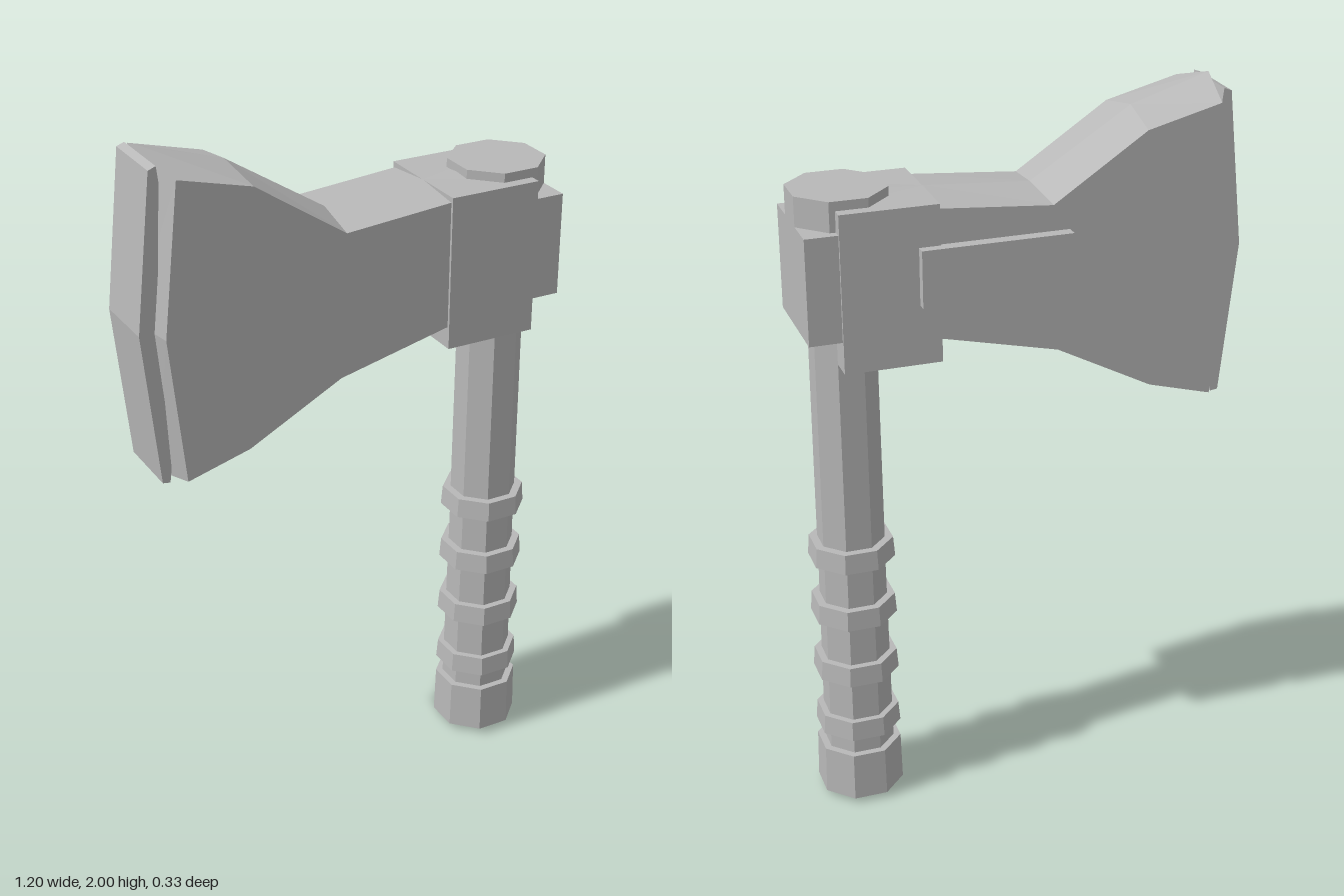
import * as THREE from 'three';

const CZ = 0.012;   // shared mid-plane of head and handle
const HX = 0.478;   // handle axis

const steel = new THREE.MeshStandardMaterial({ color: 0xb8b8b8 });
steel.name = 'grey';
steel.flatShading = true;

function add(group, name, geometry, x = 0, y = 0, z = 0) {
  const mesh = new THREE.Mesh(geometry, steel);
  mesh.name = name;
  mesh.position.set(x, y, z);
  group.add(mesh);
}

// Box given by its extents
function box(group, name, x0, x1, y0, y1, z0, z1) {
  add(group, name, new THREE.BoxGeometry(x1 - x0, y1 - y0, z1 - z0),
    (x0 + x1) / 2, (y0 + y1) / 2, (z0 + z1) / 2);
}

// Octagonal prism on the handle axis, sized by the distance to its flat sides
function octagon(group, name, y0, y1, bottom, top = bottom) {
  const k = 1 / Math.cos(Math.PI / 8);
  const geometry = new THREE.CylinderGeometry(top * k, bottom * k, y1 - y0, 8);
  geometry.rotateY(Math.PI / 8);
  add(group, name, geometry, HX, (y0 + y1) / 2, CZ);
}

// Solid through outlines (counter-clockwise from the front) ordered back to front
function loft(loops, depths) {
  const pos = [];
  const put = (k, i) => pos.push(loops[k][i][0], loops[k][i][1], depths[k]);
  const n = loops[0].length, last = loops.length - 1;
  for (let k = 0; k < last; k++) {
    for (let i = 0; i < n; i++) {
      const j = (i + 1) % n;
      put(k + 1, i); put(k, i); put(k, j);
      put(k + 1, i); put(k, j); put(k + 1, j);
    }
  }
  const caps = THREE.ShapeUtils.triangulateShape(loops[0].map(p => new THREE.Vector2(...p)), []);
  for (const [a, b, c] of caps) {
    put(last, a); put(last, b); put(last, c);
    put(0, a); put(0, c); put(0, b);
  }
  const geometry = new THREE.BufferGeometry();
  geometry.setAttribute('position', new THREE.Float32BufferAttribute(pos, 3));
  geometry.computeVertexNormals();
  return geometry;
}

export function createModel() {
  const group = new THREE.Group();
  group.name = 'axe';

  // Blade: flat cheeks with a ridge running round the rim
  const cheek = [
    [0.4, 1.77], [0.25, 1.76], [-0.05, 1.735], [-0.305, 1.905], [-0.507, 1.957],
    [-0.55, 1.55], [-0.507, 1.145], [-0.33, 1.195], [-0.065, 1.335], [0.25, 1.41], [0.4, 1.43],
  ];
  const ridge = [
    [0.4, 1.78], [0.25, 1.775], [-0.037, 1.755], [-0.315, 1.932], [-0.533, 2.0],
    [-0.575, 1.55], [-0.533, 1.115], [-0.328, 1.163], [-0.06, 1.315], [0.25, 1.39], [0.4, 1.41],
  ];
  add(group, 'blade', loft([cheek, ridge, cheek], [-0.135, CZ, 0.157]));

  // Cutting edge strip
  const edge = [
    [-0.53, 1.94], [-0.535, 1.98], [-0.556, 1.972], [-0.6, 1.55],
    [-0.556, 1.128], [-0.535, 1.125], [-0.53, 1.165], [-0.55, 1.55],
  ];
  add(group, 'cuttingEdge', loft([edge, edge], [-0.085, 0.106]));

  // Head socket
  box(group, 'socket', 0.253, 0.513, 1.35, 1.775, -0.142, 0.165);
  box(group, 'poll', 0.4, 0.6, 1.435, 1.72, -0.134, 0.153);
  box(group, 'sidePlate', -0.095, 0.31, 1.512, 1.666, -0.168, -0.1);
  octagon(group, 'topCap', 1.7, 1.8, 0.122);

  // Handle
  octagon(group, 'shaft', 0.78, 1.75, 0.086, 0.082);
  octagon(group, 'grip', 0.01, 0.79, 0.093, 0.085);
  for (const y of [0.21, 0.388, 0.568, 0.745]) {
    octagon(group, 'gripRing', y, y + 0.057, 0.111, 0.107);
  }
  octagon(group, 'pommel', 0.015, 0.157, 0.113, 0.11);
  octagon(group, 'pommelBase', 0, 0.02, 0.09, 0.1);
  return group;
}
